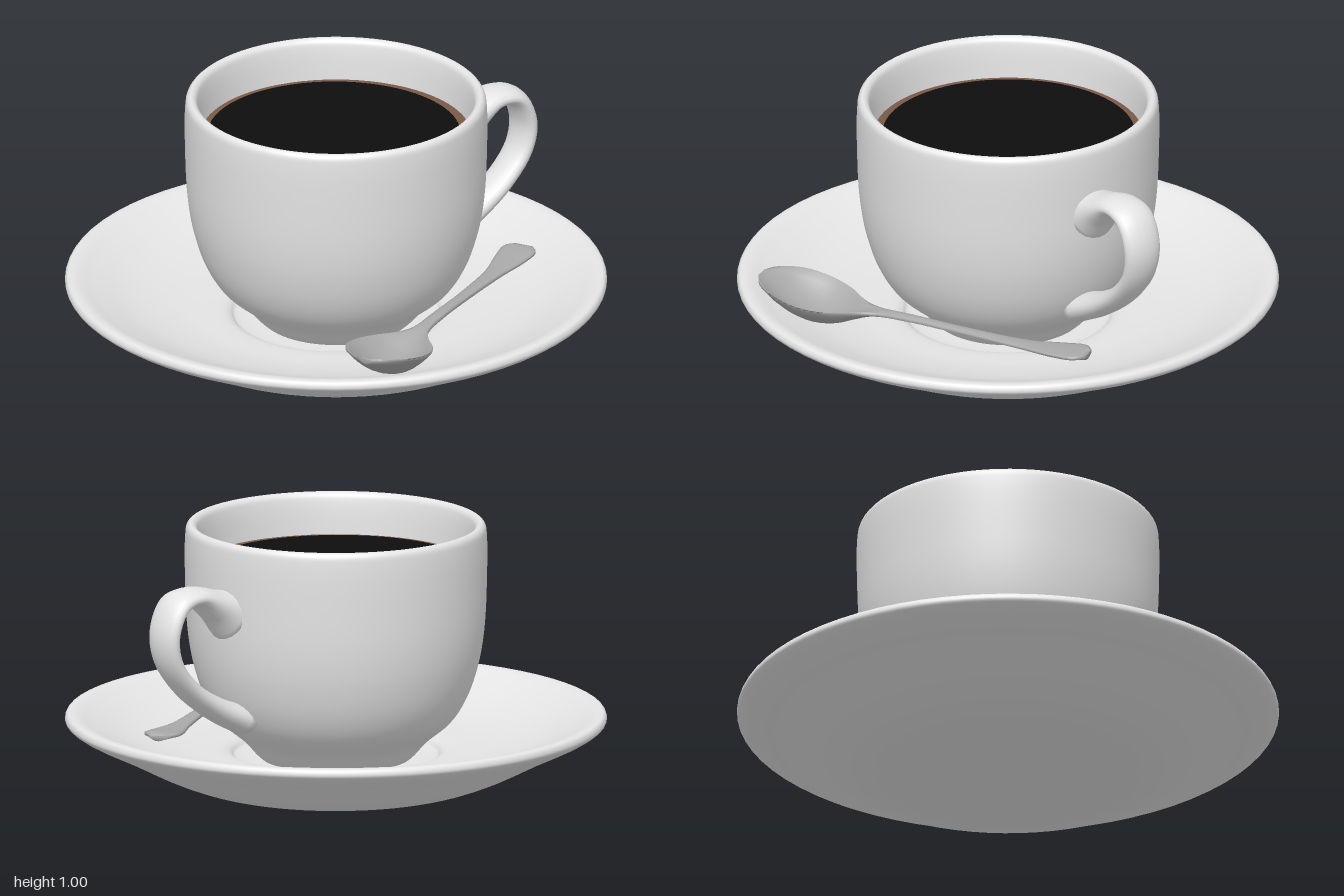
import * as THREE from 'three';

const porcelain = new THREE.MeshStandardMaterial({ color: 0xe4e4e4 });
porcelain.name = 'white porcelain';
const steel = new THREE.MeshStandardMaterial({ color: 0xa9a9a9 });
steel.name = 'spoon metal';
const coffeeBlack = new THREE.MeshStandardMaterial({ color: 0x0d0d0d });
coffeeBlack.name = 'black coffee';
const cremaBrown = new THREE.MeshStandardMaterial({ color: 0x785a46 });
cremaBrown.name = 'brown crema';

function mesh(name, geometry, material) {
  const m = new THREE.Mesh(geometry, material);
  m.name = name;
  return m;
}

// Smooth turned body from a few profile points [radius, height]
function turned(name, profile, material) {
  const curve = new THREE.CatmullRomCurve3(profile.map(([r, y]) => new THREE.Vector3(r, y, 0)));
  const pts = curve.getPoints(profile.length * 5).map(p => new THREE.Vector2(Math.max(p.x, 0), Math.max(p.y, 0)));
  return mesh(name, new THREE.LatheGeometry(pts, 72), material);
}

// Skin over closed rings of equal size, with fan caps on both ends
function loft(name, rings, material) {
  const n = rings[0].length, last = (rings.length - 1) * n, pos = [], index = [];
  rings.forEach(ring => ring.forEach(p => pos.push(p.x, p.y, p.z)));
  for (let i = 0; i < rings.length - 1; i++) {
    for (let j = 0; j < n; j++) {
      const a = i * n + j, b = i * n + (j + 1) % n;
      index.push(a, b, a + n, b, b + n, a + n);
    }
  }
  for (let j = 1; j < n - 1; j++) {
    index.push(0, j + 1, j, last, last + j, last + j + 1);
  }
  const g = new THREE.BufferGeometry();
  g.setAttribute('position', new THREE.Float32BufferAttribute(pos, 3));
  g.setIndex(index);
  g.computeVertexNormals();
  return mesh(name, g, material);
}

// Cup handle: elliptical sections along a bent path; rows are x, y, half thickness, half width
function cupHandle() {
  const rows = [
    [0.525, 0.73, 0.10, 0.1], [0.60, 0.772, 0.062, 0.088], [0.70, 0.82, 0.036, 0.08],
    [0.79, 0.802, 0.036, 0.08], [0.84, 0.70, 0.036, 0.077], [0.822, 0.59, 0.036, 0.072],
    [0.73, 0.475, 0.038, 0.07], [0.60, 0.385, 0.045, 0.072], [0.46, 0.32, 0.055, 0.085],
  ];
  const path = new THREE.CatmullRomCurve3(rows.map(r => new THREE.Vector3(r[0], r[1], 0)));
  const size = new THREE.CatmullRomCurve3(rows.map(r => new THREE.Vector3(r[2], r[3], 0)), false, 'catmullrom');
  const rings = [];
  for (let i = 0; i <= 40; i++) {
    const t = i / 40, c = path.getPoint(t), d = path.getTangent(t), s = size.getPoint(t);
    const ring = [];
    for (let j = 0; j < 20; j++) {
      const a = j / 20 * Math.PI * 2, k = Math.cos(a) * s.x;
      ring.push(new THREE.Vector3(c.x - d.y * k, c.y + d.x * k, Math.sin(a) * s.y));
    }
    rings.push(ring);
  }
  return loft('cupHandle', rings, porcelain);
}

// Spoon: dished sections along a straight axis; rows are distance, half width, edge height, dish depth
function spoon() {
  const rows = [
    [0, 0.025, 0.345, 0], [0.03, 0.08, 0.342, 0.018], [0.11, 0.138, 0.328, 0.06],
    [0.21, 0.152, 0.308, 0.08], [0.31, 0.122, 0.292, 0.062], [0.39, 0.065, 0.284, 0.025],
    [0.46, 0.032, 0.282, 0], [0.6, 0.024, 0.282, -0.006], [0.85, 0.024, 0.272, -0.006],
    [1.08, 0.036, 0.266, -0.004], [1.2, 0.058, 0.27, -0.004], [1.29, 0.064, 0.276, -0.004],
    [1.325, 0.035, 0.276, 0],
  ];
  const start = new THREE.Vector3(-0.43, 0, 0.81);
  const dir = new THREE.Vector3(0.73, 0, 0.165).sub(start).normalize();
  const side = new THREE.Vector3(dir.z, 0, -dir.x);
  const shape = new THREE.CatmullRomCurve3(rows.map(r => new THREE.Vector3(r[0], r[1], r[2])));
  const dish = new THREE.CatmullRomCurve3(rows.map(r => new THREE.Vector3(r[0], r[3], 0)));
  const rings = [], n = 10, steps = (rows.length - 1) * 4;
  for (let i = 0; i <= steps; i++) {
    const p = shape.getPoint(i / steps), depth = dish.getPoint(i / steps).y;
    const ring = [];
    const add = (u, drop) => ring.push(start.clone()
      .addScaledVector(dir, p.x)
      .addScaledVector(side, u * p.y)
      .setY(p.z - depth * (1 - u * u) - drop));
    for (let j = 0; j <= n; j++) {
      const u = j / n * 2 - 1;
      add(u, 0.01 + 0.014 * (1 - u * u));
    }
    for (let j = n; j >= 0; j--) add(j / n * 2 - 1, 0);
    rings.push(ring);
  }
  return loft('spoon', rings, steel);
}

// Flat liquid disc facing up
function liquid(name, radius, x, y, z, material) {
  const m = mesh(name, new THREE.CircleGeometry(radius, 72), material);
  m.rotation.x = -Math.PI / 2;
  m.position.set(x, y, z);
  return m;
}

export function createModel() {
  const model = new THREE.Group();
  model.name = 'coffeeCupSet';

  // Saucer with a sunken seat for the cup
  model.add(turned('saucer', [
    [0, 0], [0.34, 0.003], [0.5, 0.02], [0.64, 0.068], [0.82, 0.158], [0.975, 0.236],
    [0.998, 0.258], [0.99, 0.281], [0.96, 0.283], [0.89, 0.255], [0.75, 0.2], [0.58, 0.164],
    [0.42, 0.152], [0.39, 0.14], [0.37, 0.122], [0.2, 0.118], [0, 0.118],
  ], porcelain));

  // Cup wall, rim and inside
  model.add(turned('cup', [
    [0, 0.11], [0.26, 0.11], [0.29, 0.13], [0.34, 0.185], [0.43, 0.262], [0.485, 0.35],
    [0.525, 0.47], [0.547, 0.6], [0.556, 0.78], [0.556, 0.95], [0.55, 0.988], [0.535, 1.0],
    [0.517, 0.99], [0.508, 0.96], [0.497, 0.84], [0.485, 0.6], [0.4, 0.32], [0.25, 0.2], [0, 0.18],
  ], porcelain));
  model.add(cupHandle());

  // Coffee with a brown edge
  model.add(liquid('crema', 0.499, 0, 0.845, 0, cremaBrown));
  model.add(liquid('coffee', 0.465, -0.004, 0.85, -0.006, coffeeBlack));

  model.add(spoon());
  return model;
}
